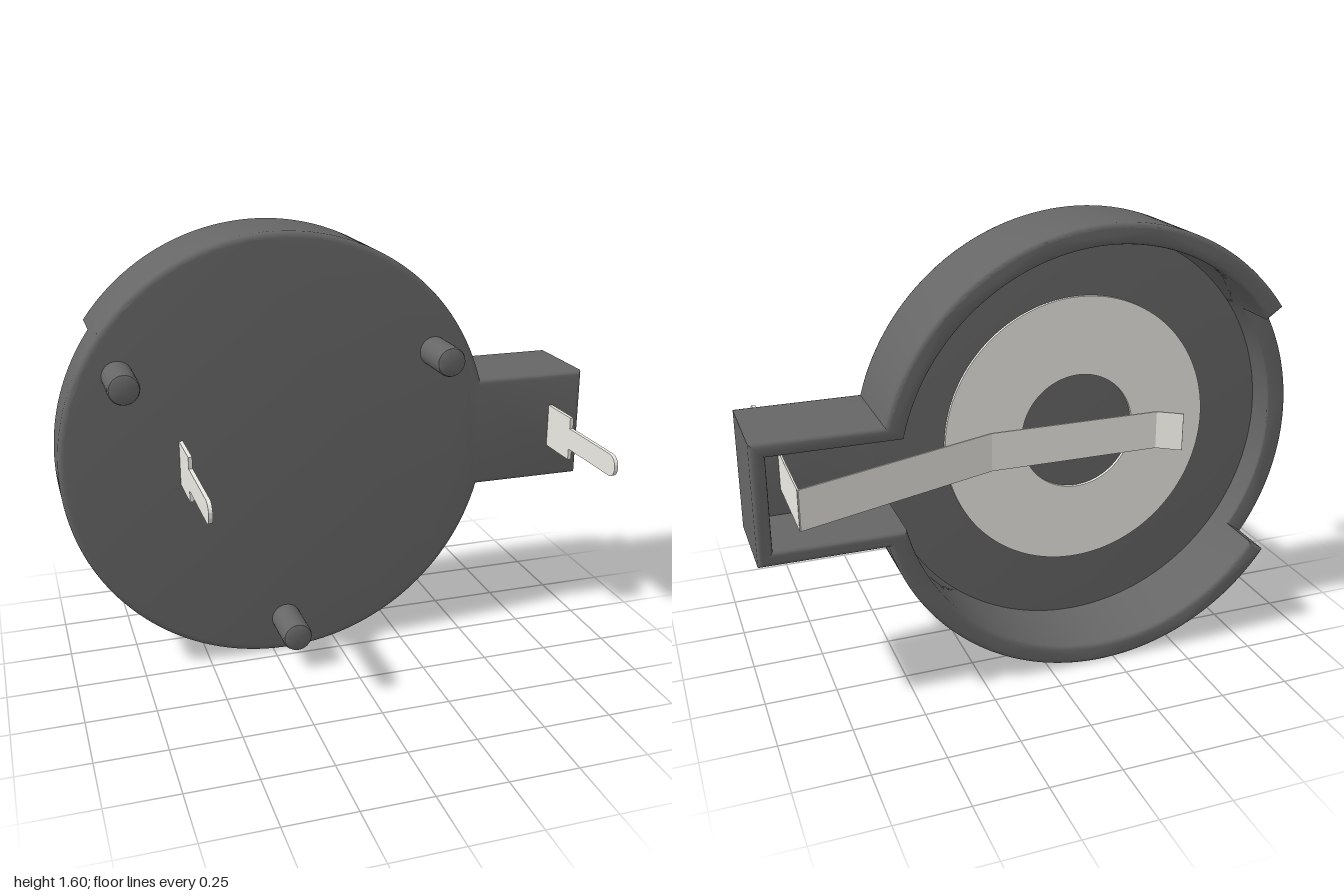
import * as THREE from 'three';
import { toCreasedNormals } from 'three/addons/utils/BufferGeometryUtils.js';

const CX = -0.2, CY = 0.803;            // centre of the round cup
const R = 0.802, RI = 0.73;             // outer and inner radius
const HALF = 0.21, CHANNEL = 0.16;      // half heights of the side box and its channel
const END = 1.2, INNER_END = 1.15;      // box end, measured from the cup centre
const NOTCH = 2.52;                     // angle at which the rim is cut down
const FRONT = -0.045, BACK = -0.397, FLOOR = -0.122;

export function createModel() {
  const group = new THREE.Group();
  const plastic = new THREE.MeshStandardMaterial({ color: 0x666666 });
  const metal = new THREE.MeshStandardMaterial({ color: 0xebe9e3, side: THREE.DoubleSide });

  const add = (name, geometry, material, x = 0, y = 0, z = 0) => {
    const mesh = new THREE.Mesh(geometry, material);
    mesh.name = name;
    mesh.position.set(x, y, z);
    group.add(mesh);
  };

  // Slab between two depths, edges rounded by b without growing the outline
  const slab = (shape, z0, z1, b) => {
    const geo = new THREE.ExtrudeGeometry(shape, {
      depth: z1 - z0 - 2 * b, bevelEnabled: b > 0, bevelThickness: b, bevelSize: b,
      bevelOffset: -b, bevelSegments: 3, curveSegments: 72,
    });
    geo.translate(0, 0, z0 + b);
    return toCreasedNormals(geo, 0.6);
  };

  const aOut = Math.asin(HALF / R), aIn = Math.asin(CHANNEL / RI);

  // Front plate: disc joined to the side box, its back face is the floor
  const outline = new THREE.Shape();
  outline.absarc(0, 0, R, aOut, Math.PI * 2 - aOut, false);
  outline.lineTo(END, -HALF);
  outline.lineTo(END, HALF);
  outline.closePath();
  add('basePlate', slab(outline, FLOOR, FRONT, 0.02), plastic, CX, CY);

  // Tall rim with the walls of the side box, open at the notch
  const rim = new THREE.Shape();
  rim.absarc(0, 0, R, NOTCH, aOut, true);
  rim.lineTo(END, HALF);
  rim.lineTo(END, -HALF);
  rim.absarc(0, 0, R, -aOut, -NOTCH, true);
  rim.absarc(0, 0, RI, -NOTCH, -aIn, false);
  rim.lineTo(INNER_END, -CHANNEL);
  rim.lineTo(INNER_END, CHANNEL);
  rim.absarc(0, 0, RI, aIn, NOTCH, false);
  rim.closePath();
  add('rimAndBoxWalls', slab(rim, BACK, FRONT - 0.01, 0.016), plastic, CX, CY);

  // Low lip closing the notch
  const lip = new THREE.Shape();
  const a0 = NOTCH - 0.03, a1 = Math.PI * 2 - a0;
  lip.absarc(0, 0, R, a0, a1, false);
  lip.absarc(0, 0, RI, a1, a0, true);
  lip.closePath();
  add('notchLip', slab(lip, -0.227, FRONT - 0.015, 0.006), plastic, CX, CY);

  // Locating pegs with a rounded tip
  const pegProfile = [[0, 0], [0.055, 0], [0.055, 0.175], [0.051, 0.185], [0.042, 0.19], [0, 0.19]]
    .map(([x, y]) => new THREE.Vector2(x, y));
  const peg = toCreasedNormals(new THREE.LatheGeometry(pegProfile, 32).rotateX(Math.PI / 2), 0.6);
  for (const [x, y] of [[-0.78, 1.14], [0.38, 1.14], [CX, 0.135]]) {
    add('locatingPeg', peg, plastic, x, y, -0.06);
  }

  // Flat ring contact on the floor
  const ring = new THREE.Shape();
  ring.absarc(0, 0, 0.5, 0, Math.PI * 2, false);
  const hole = new THREE.Path();
  hole.absarc(0, 0, 0.215, 0, Math.PI * 2, true);
  ring.holes.push(hole);
  add('ringContact', slab(ring, FLOOR - 0.012, FLOOR + 0.004, 0), metal, CX, CY);

  // Solder pins: wide shoulder, narrow blade, round tip
  const pinShape = new THREE.Shape();
  pinShape.moveTo(FLOOR, -0.082);
  pinShape.lineTo(0.13, -0.082);
  pinShape.lineTo(0.13, -0.04);
  pinShape.lineTo(0.425, -0.04);
  pinShape.absarc(0.425, 0, 0.04, -Math.PI / 2, Math.PI / 2, false);
  pinShape.lineTo(0.13, 0.04);
  pinShape.lineTo(0.13, 0.082);
  pinShape.lineTo(FLOOR, 0.082);
  pinShape.closePath();
  const pin = slab(pinShape, -0.007, 0.007, 0).rotateY(-Math.PI / 2);
  add('ringPin', pin, metal, -0.573, CY + 0.002);
  add('springPin', pin, metal, 0.872, CY + 0.002);

  // Bent spring strip, one flat piece per straight run (x, z)
  const path = [[0.87, -0.1], [0.87, -0.463], [0.16, -0.22], [-0.47, -0.222], [-0.55, -0.277]];
  const spring = new THREE.Group();
  spring.name = 'springContact';
  for (let i = 0; i < path.length - 1; i++) {
    const [x0, z0] = path[i], [x1, z1] = path[i + 1];
    const dx = x1 - x0, dz = z1 - z0;
    const run = new THREE.Mesh(new THREE.BoxGeometry(Math.hypot(dx, dz), 0.14, 0.006), metal);
    run.name = 'springRun';
    run.position.set((x0 + x1) / 2, CY + 0.002, (z0 + z1) / 2);
    run.rotation.y = Math.atan2(-dz, dx);
    spring.add(run);
  }
  group.add(spring);

  return group;
}
